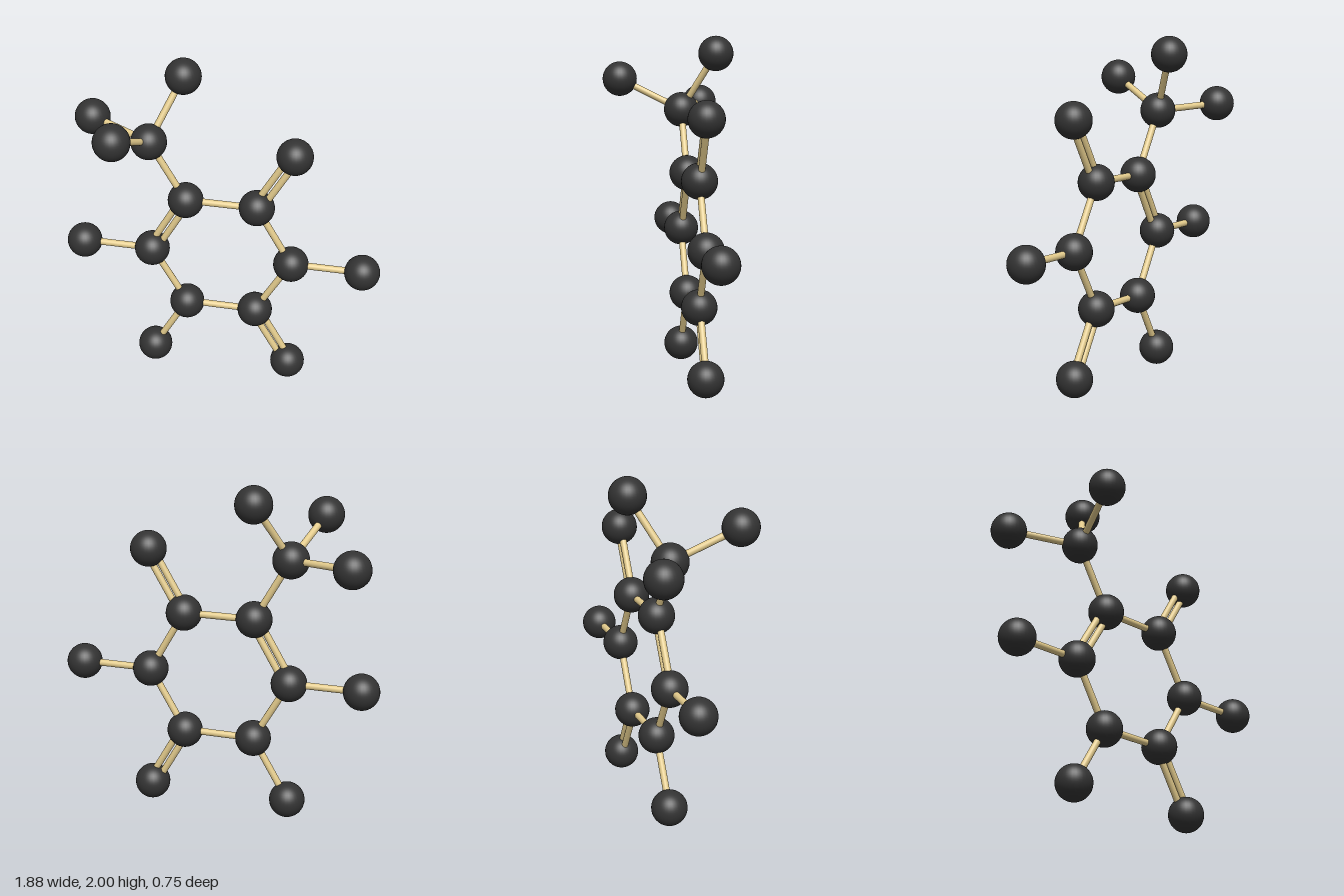
import * as THREE from 'three';

const ATOM_R = 0.104, BOND_R = 0.02, LENGTH = 0.419, CY = 0.831, Z = -0.09;

export function createModel() {
  const model = new THREE.Group();
  model.name = 'moleculeModel';
  const dark = new THREE.MeshStandardMaterial({ color: 0x333333 });
  const tan = new THREE.MeshStandardMaterial({ color: 0xe3cb8c });
  const ball = new THREE.SphereGeometry(ATOM_R, 32, 24);
  const up = new THREE.Vector3(0, 1, 0);

  const atom = (name, p) => {
    const mesh = new THREE.Mesh(ball, dark);
    mesh.name = name;
    mesh.position.copy(p);
    model.add(mesh);
    return p;
  };

  // One rod, or two parallel rods lying in the plane of the ring
  const bond = (name, a, b, isDouble = false) => {
    const dir = b.clone().sub(a);
    const side = new THREE.Vector3(-dir.y, dir.x, 0).normalize();
    for (const offset of isDouble ? [-0.024, 0.024] : [0]) {
      const rod = new THREE.Mesh(new THREE.CylinderGeometry(BOND_R, BOND_R, dir.length(), 20), tan);
      rod.name = name;
      rod.position.copy(a).lerp(b, 0.5).addScaledVector(side, offset);
      rod.quaternion.setFromUnitVectors(up, dir.clone().normalize());
      model.add(rod);
    }
  };

  // Hexagon and its six outer atoms, counter-clockwise from +x
  const polar = (i, r) => {
    const t = (i * Math.PI) / 3;
    return new THREE.Vector3(r * Math.cos(t), CY + r * Math.sin(t), Z);
  };
  const ring = [], outer = [];
  for (let i = 0; i < 6; i++) {
    ring.push(atom('ringAtom', polar(i, LENGTH)));
    outer.push(atom('outerAtom', polar(i, 2 * LENGTH)));
  }
  for (let i = 0; i < 6; i++) {
    bond('ringBond', ring[i], ring[(i + 1) % 6], i === 2);
    bond('outerBond', ring[i], outer[i], i === 1 || i === 5);
  }

  // Three-armed branch on the upper right corner
  for (const [x, y, z] of [[-0.255, 1.896, -0.271], [-0.8, 1.583, -0.271], [-0.527, 1.74, 0.271]]) {
    bond('branchBond', outer[2], atom('branchAtom', new THREE.Vector3(x, y, z)));
  }
  return model;
}
